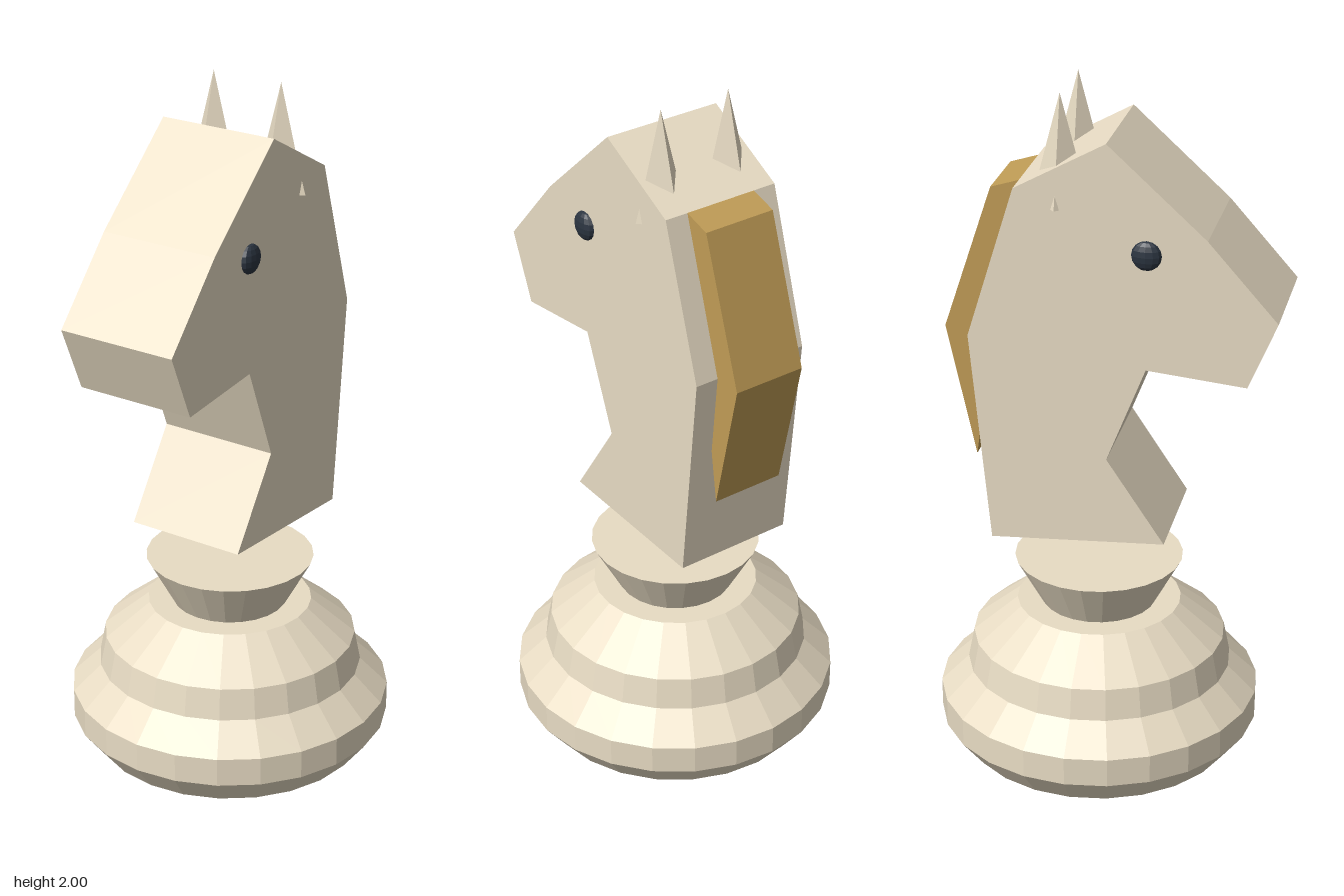
import * as THREE from 'three';

const ivory = new THREE.MeshStandardMaterial({ color: 0xe8dcc4, flatShading: true });
const gold = new THREE.MeshStandardMaterial({ color: 0xc09c56, flatShading: true });
const dark = new THREE.MeshStandardMaterial({ color: 0x2b3440, flatShading: true });

function addMesh(parent, name, geometry, material, x = 0, y = 0, z = 0) {
  const mesh = new THREE.Mesh(geometry, material);
  mesh.name = name;
  mesh.position.set(x, y, z);
  parent.add(mesh);
  return mesh;
}

// Side outline given as [z, y] pairs, extruded across x and centred
function sideSlab(points, width) {
  const shape = new THREE.Shape(points.map(([z, y]) => new THREE.Vector2(z, y)));
  const geometry = new THREE.ExtrudeGeometry(shape, { depth: width, bevelEnabled: false });
  return geometry.translate(0, 0, -width / 2).rotateY(-Math.PI / 2);
}

// Four-sided spike standing on its base height
function spike(radius, height) {
  return new THREE.ConeGeometry(radius, height, 4).translate(0, height / 2, 0);
}

export function createModel() {
  const model = new THREE.Group();
  model.name = 'chessKnight';

  // Turned base with flared collar
  const baseProfile = [
    [0, 0], [0.405, 0], [0.47, 0.085], [0.47, 0.17], [0.388, 0.25],
    [0.37, 0.34], [0.24, 0.445], [0.168, 0.445], [0.245, 0.587], [0, 0.587],
  ].map(([r, y]) => new THREE.Vector2(r, y));
  addMesh(model, 'base', new THREE.LatheGeometry(baseProfile, 24), ivory, 0, 0, -0.03);

  // Horse head and neck, floating above the base
  const headOutline = [
    [0.03, 1.89], [-0.225, 1.75], [-0.36, 1.315], [-0.303, 0.7], [0.195, 0.727],
    [0.03, 0.975], [0.14, 1.255], [0.42, 1.228], [0.5, 1.42], [0.305, 1.64],
  ];
  addMesh(model, 'head', sideSlab(headOutline, 0.36), ivory);

  // Mane along the back of the neck, sunk slightly into it
  const maneOutline = [
    [-0.225, 1.75], [-0.305, 1.725], [-0.443, 1.31], [-0.36, 0.925],
    [-0.336, 1.09], [-0.31, 1.3],
  ];
  addMesh(model, 'mane', sideSlab(maneOutline, 0.22), gold);

  // Paired ears, cheek spikes and eyes
  for (const [side, s] of [['left', 1], ['right', -1]]) {
    addMesh(model, side + 'Ear', spike(0.066, 0.25), ivory, s * 0.11, 1.75, -0.11);
    addMesh(model, side + 'CheekSpike', spike(0.015, 0.05), ivory, s * 0.177, 1.697, -0.11);
    const eye = addMesh(model, side + 'Eye', new THREE.SphereGeometry(0.042, 12, 8), dark, s * 0.18, 1.587, 0.14);
    eye.scale.x = 0.5;
  }
  return model;
}
